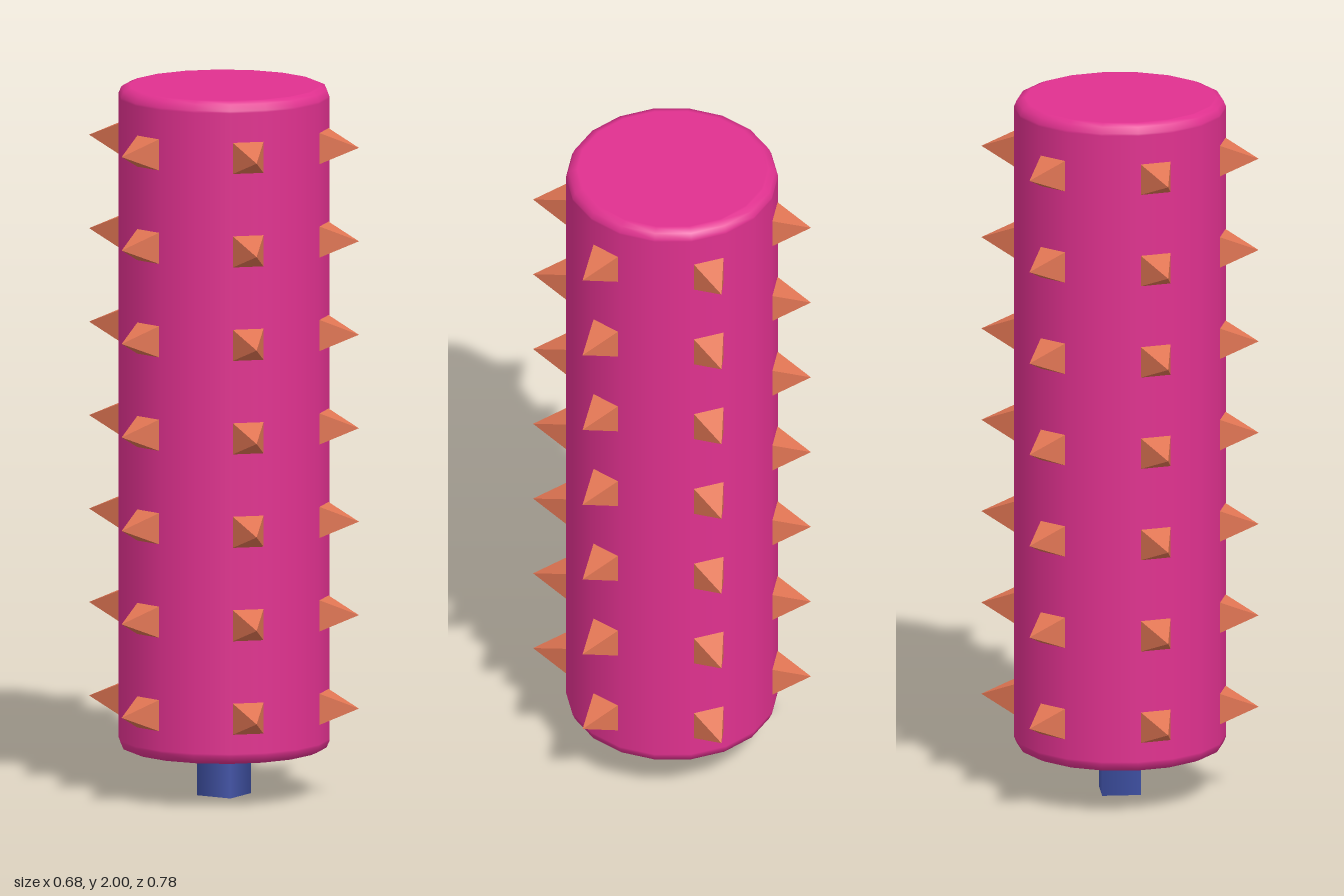
import * as THREE from 'three';

export function createModel() {
  const pink = new THREE.MeshStandardMaterial({ color: 0xe0318f });
  pink.name = 'pink';
  const orange = new THREE.MeshStandardMaterial({ color: 0xe07553, flatShading: true });
  orange.name = 'orange';
  const blue = new THREE.MeshStandardMaterial({ color: 0x3f51a5 });
  blue.name = 'blue';

  const model = new THREE.Group();
  model.name = 'spikedRoller';

  // Roller body: 18 sides, softly bevelled rims, extra rings keep the caps and wall flat
  const R = 0.295, Y0 = 0.13, Y1 = 2, B = 0.025;
  const rim = [[R - B - 0.006, 0], [R - B, 0], [R - 0.3 * B, 0.3 * B], [R, B], [R, B + 0.006]];
  const profile = [
    [0, Y0],
    ...rim.map(([r, h]) => [r, Y0 + h]),
    ...rim.map(([r, h]) => [r, Y1 - h]).reverse(),
    [0, Y1],
  ].map(([r, y]) => new THREE.Vector2(r, y));
  const body = new THREE.Mesh(new THREE.LatheGeometry(profile, 18, Math.PI / 2), pink);
  body.name = 'rollerBody';
  model.add(body);

  // Four-sided axle peg under the body
  const peg = new THREE.Mesh(new THREE.CylinderGeometry(0.077, 0.077, 0.16, 4), blue);
  peg.name = 'axlePeg';
  peg.position.y = 0.08;
  model.add(peg);

  // Pyramid spikes: seven rows of six, pointing outwards
  const spikeGeometry = new THREE.ConeGeometry(0.045 * Math.SQRT2, 0.104, 4)
    .rotateY(Math.PI / 4)
    .rotateX(Math.PI / 2)
    .translate(0, 0, 0.288 + 0.052);
  for (let row = 0; row < 7; row++) {
    const ring = new THREE.Group();
    ring.name = 'spikeRow';
    ring.position.y = 0.26 + row * 0.2637;
    for (let i = 0; i < 6; i++) {
      const spike = new THREE.Mesh(spikeGeometry, orange);
      spike.name = 'spike';
      spike.rotation.y = (i * Math.PI) / 3;
      ring.add(spike);
    }
    model.add(ring);
  }
  return model;
}
